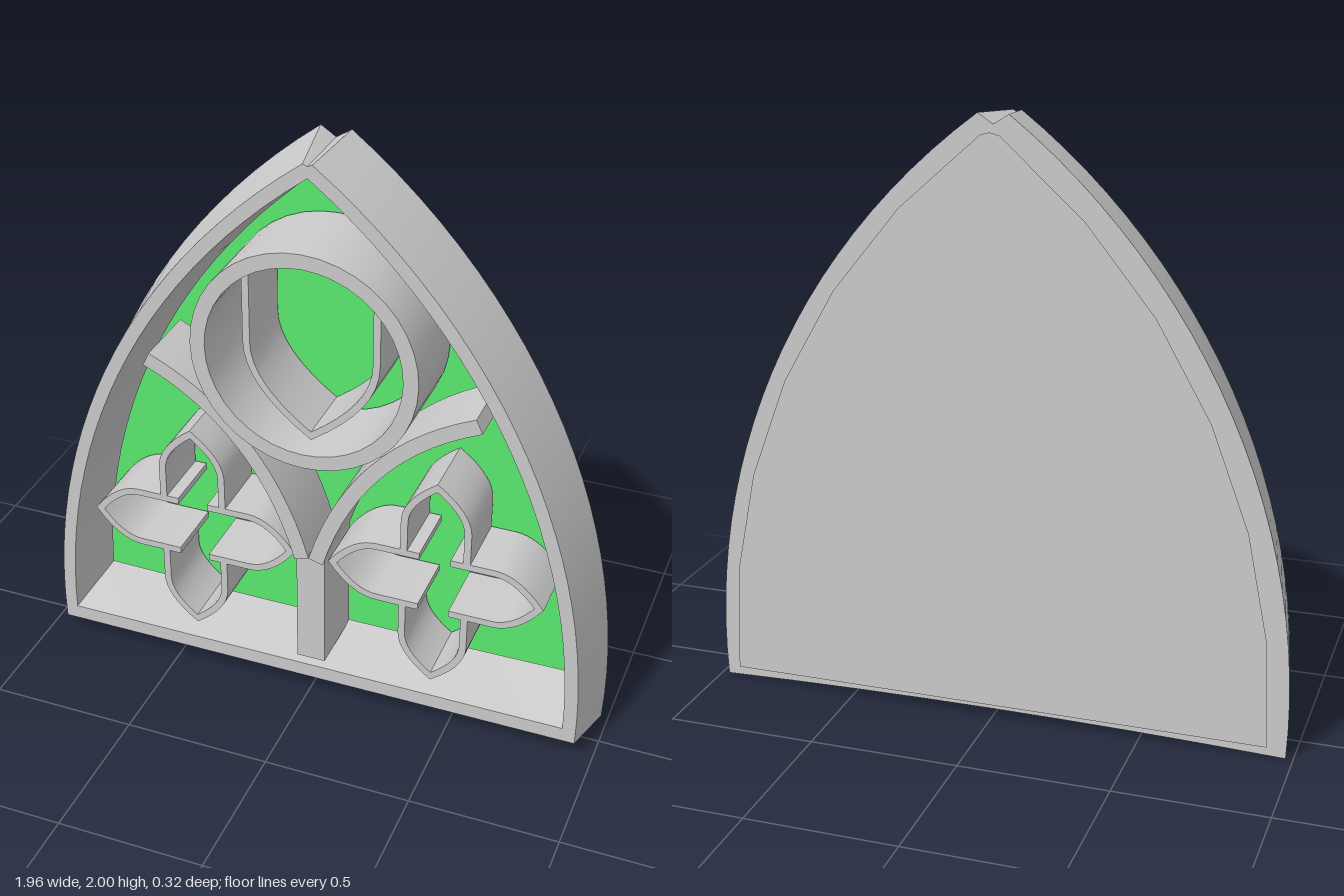
import * as THREE from 'three';
import { toCreasedNormals } from 'three/addons/utils/BufferGeometryUtils.js';

const GREY = new THREE.MeshStandardMaterial({ color: 0xcccccc });
const GREEN = new THREE.MeshStandardMaterial({ color: 0x5aea70 });
const CX = 1.35, CY = 0.14; // arc centres of the pointed arch lie at (-CX, CY) and (CX, CY)

// Closed pointed-arch outline, counterclockwise from the lower right corner
function archOutline({ R, base, tipX = 0, tipY, bow = 0, steps = 24 }) {
  const a0 = Math.asin((base - CY) / R), a1 = Math.acos((CX + tipX) / R);
  const right = [];
  for (let i = 0; i <= steps; i++) {
    const a = a0 + (a1 - a0) * i / steps;
    right.push(new THREE.Vector2(R * Math.cos(a) - CX, CY + R * Math.sin(a)));
  }
  const left = right.map(p => new THREE.Vector2(-p.x, p.y)).reverse();
  const bottom = [];
  for (let i = 1; i < 8; i++) {
    const t = i / 4 - 1;
    bottom.push(new THREE.Vector2(right[0].x * t, base + bow * (1 - t * t)));
  }
  return [...right, new THREE.Vector2(0, tipY), ...left, ...bottom];
}

// Bevelled frame: four outlines joined into a closed section
function frameGeometry() {
  const rings = [
    { z: -0.13, R: 2.33, base: 0.003, tipX: 0.05, tipY: 1.97, bow: 0.018 },
    { z: 0.105, R: 2.29, base: 0.06, tipX: 0.015, tipY: 1.972 },
    { z: 0.105, R: 2.245, base: 0.112, tipX: 0.003, tipY: 1.935 },
    { z: -0.13, R: 2.215, base: 0.16, tipX: 0.003, tipY: 1.9, bow: -0.008 },
  ].map(r => archOutline(r).map(p => new THREE.Vector3(p.x, p.y, r.z)));
  const n = rings[0].length, pos = [];
  for (let s = 0; s < 4; s++) {
    const A = rings[s], B = rings[(s + 1) % 4];
    for (let i = 0; i < n; i++) {
      const j = (i + 1) % n;
      for (const v of [A[i], A[j], B[i], A[j], B[j], B[i]]) pos.push(v.x, v.y, v.z);
    }
  }
  const g = new THREE.BufferGeometry();
  g.setAttribute('position', new THREE.Float32BufferAttribute(pos, 3));
  return toCreasedNormals(g, 0.4);
}

function extrude(shape, z0, z1, curveSegments = 12) {
  const g = new THREE.ExtrudeGeometry(shape, { depth: z1 - z0, bevelEnabled: false, curveSegments });
  g.translate(0, 0, z0);
  return toCreasedNormals(g, 0.5);
}

// Flat bar of even width following a 2D path, with mitred corners
function barGeometry(pts, width, z0, z1) {
  const sides = [[], []];
  pts.forEach((p, i) => {
    const d0 = p.clone().sub(pts[Math.max(i - 1, 0)]).normalize();
    const d1 = pts[Math.min(i + 1, pts.length - 1)].clone().sub(p).normalize();
    const t = d0.clone().add(d1).normalize();
    const k = width / 2 / t.dot(i === 0 ? d1 : d0);
    const n = new THREE.Vector2(-t.y * k, t.x * k);
    sides[0].push(p.clone().add(n));
    sides[1].push(p.clone().sub(n));
  });
  return extrude(new THREE.Shape([...sides[0], ...sides[1].reverse()]), z0, z1);
}

// Open foil pointing up: straight sides closing in a pointed arch
function foilGeometry(half, start, shoulder, tip) {
  const curve = new THREE.QuadraticBezierCurve(
    new THREE.Vector2(half, shoulder),
    new THREE.Vector2(half, shoulder + (tip - shoulder) * 0.5),
    new THREE.Vector2(0, tip));
  const right = [new THREE.Vector2(half, start), ...curve.getPoints(8)];
  const left = right.slice(0, -1).reverse().map(p => new THREE.Vector2(-p.x, p.y));
  return barGeometry([...right, ...left], 0.024, -0.145, 0.085);
}

export function createModel() {
  const model = new THREE.Group();
  model.name = 'tracery window';
  const add = (name, geometry, parent = model, material = GREY) => {
    const mesh = new THREE.Mesh(geometry, material);
    mesh.name = name;
    parent.add(mesh);
    return mesh;
  };

  add('frame', frameGeometry());

  // Pane: coloured front, plain back
  const pane = new THREE.Shape(archOutline({ R: 2.27, base: 0.05, tipX: 0.03, tipY: 1.95, steps: 6 }));
  add('glassPane', new THREE.ShapeGeometry(pane), model, GREEN).position.z = -0.16;
  const back = add('paneBack', new THREE.ShapeGeometry(pane));
  back.rotation.y = Math.PI;
  back.position.z = -0.162;

  // Round window at the top with its single pointed foil
  const ring = new THREE.Shape().absarc(0, 0, 0.378, 0, Math.PI * 2);
  ring.holes.push(new THREE.Path().absarc(0, 0, 0.328, 0, Math.PI * 2, true));
  add('upperRing', extrude(ring, -0.15, 0.157, 20)).position.y = 1.333;
  const upperFoil = add('upperFoil', foilGeometry(0.217, -0.25, 0, 0.3));
  upperFoil.position.y = 1.333;
  upperFoil.rotation.z = Math.PI;

  // Central post and its two curved branches
  const post = add('mullion', new THREE.BoxGeometry(0.1, 0.43, 0.235));
  post.position.set(0.006, 0.36, -0.0115);
  for (const s of [1, -1]) {
    const branch = new THREE.QuadraticBezierCurve(
      new THREE.Vector2(s * 0.025, 0.56),
      new THREE.Vector2(s * 0.16, 1.04),
      new THREE.Vector2(s * 0.56, 1.21));
    add(s > 0 ? 'leftBranch' : 'rightBranch', barGeometry(branch.getPoints(14), 0.052, -0.13, 0.11));
  }

  // Four-lobed openings, left and right
  for (const s of [1, -1]) {
    const quatrefoil = new THREE.Group();
    quatrefoil.name = s > 0 ? 'leftQuatrefoil' : 'rightQuatrefoil';
    quatrefoil.position.set(s * 0.428, 0.557, 0);
    for (let i = 0; i < 4; i++) {
      const geometry = i % 2
        ? foilGeometry(0.102, 0.053, 0.2, 0.353)
        : foilGeometry(0.107, 0.1, 0.225, 0.38);
      add('foil', geometry, quatrefoil).rotation.z = i * Math.PI / 2;
    }
    model.add(quatrefoil);
  }
  return model;
}
